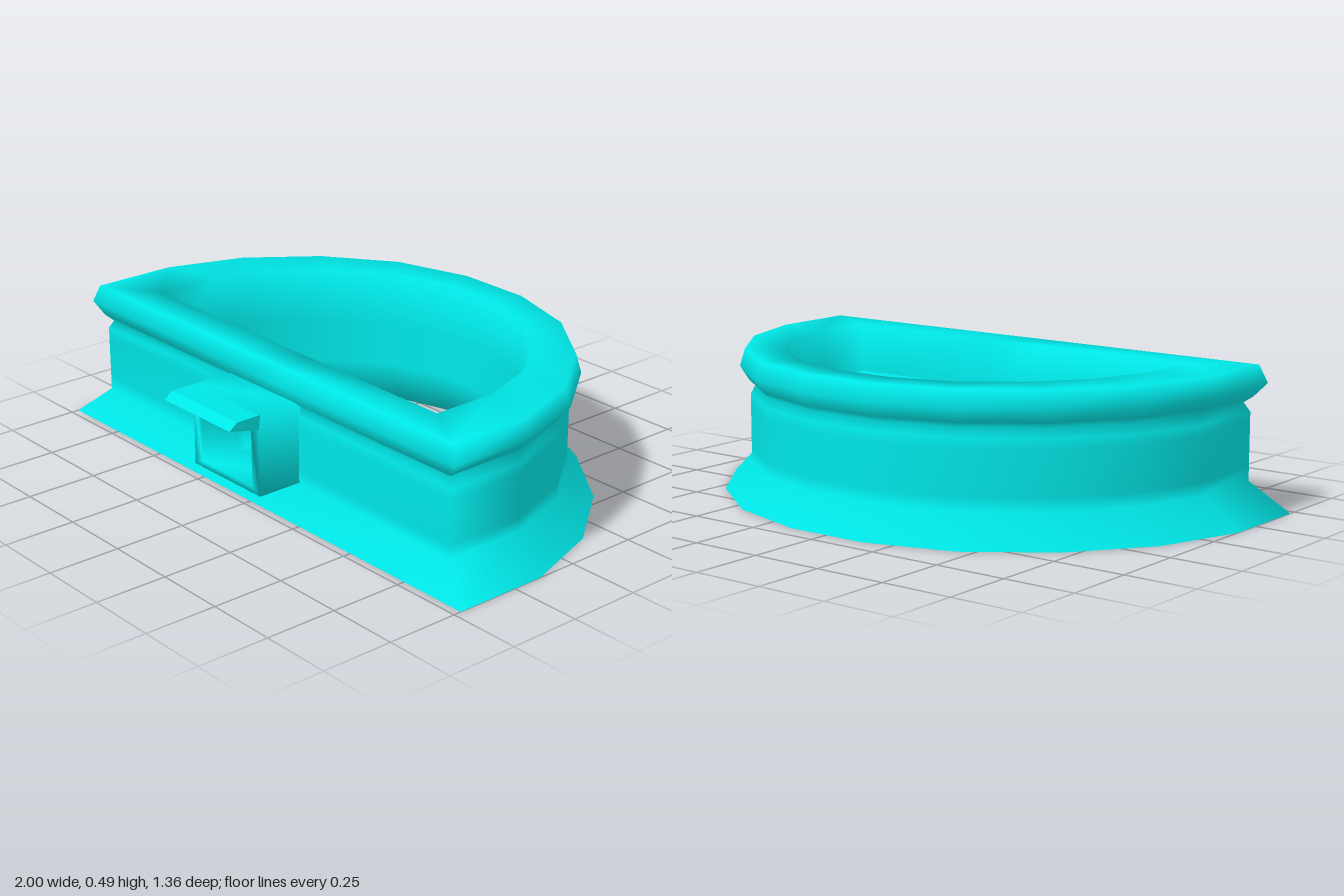
import * as THREE from 'three';

const material = new THREE.MeshStandardMaterial({ color: 0x00e6e6 });

// Skin a series of closed loops smoothly; skip(i, j) leaves a quad open
function loft(rows, skip = () => false) {
  const n = rows[0].length, index = [];
  for (let i = 0; i < rows.length - 1; i++) {
    for (let j = 0; j < n; j++) {
      if (skip(i, j)) continue;
      const a = i * n + j, b = i * n + (j + 1) % n;
      index.push(a, b, b + n, a, b + n, a + n);
    }
  }
  const geo = new THREE.BufferGeometry();
  geo.setAttribute('position', new THREE.Float32BufferAttribute(rows.flat(2), 3));
  geo.setIndex(index);
  geo.computeVertexNormals();
  return geo;
}

function extrude(points, depth) {
  const shape = new THREE.Shape(points.map(p => new THREE.Vector2(...p)));
  return new THREE.ExtrudeGeometry(shape, { depth, bevelEnabled: false });
}

export function createModel() {
  const group = new THREE.Group();
  const add = (name, geo) => {
    const mesh = new THREE.Mesh(geo, material);
    mesh.name = name;
    group.add(mesh);
  };

  // D-shaped outline: half width, depth fraction from the front (0) to the back (1)
  const side = [[1, 0], [1, 0.287], [0.9, 0.54], [0.71, 0.757], [0.45, 0.922], [0.15, 1]];
  const outline = (y, hx, front, back) => {
    const at = (x, f) => [x, y, front + (back - front) * f];
    return [
      at(-hx, 0), at(-0.1, 0), at(0.1, 0),
      ...side.map(([x, f]) => at(x * hx, f)),
      ...side.slice(1).reverse().map(([x, f]) => at(-x * hx, f)),
    ];
  };

  // Wall section: height, half width, front z, back z
  const section = [
    [0, 1, 0.473, -0.68],
    [0.105, 0.88, 0.405, -0.6],
    [0.15, 0.88, 0.405, -0.6],
    [0.3, 0.88, 0.405, -0.6],
    [0.335, 0.88, 0.405, -0.6],
    [0.365, 0.86, 0.395, -0.585],
    [0.385, 0.885, 0.415, -0.61],
    [0.43, 0.925, 0.435, -0.632],
    [0.49, 0.9, 0.42, -0.617],
    [0.49, 0.7, 0.3, -0.5],
    [0.3, 0.695, 0.3, -0.495],
    [0.15, 0.69, 0.3, -0.49],
    [0.1, 0.69, 0.3, -0.49],
    [0, 0.74, 0.33, -0.54],
    [0, 1, 0.473, -0.68],
  ];
  // The front panel stays open where the socket passes through
  add('ringWall', loft(section.map(s => outline(...s)), (i, j) => j === 1 && (i === 2 || i === 10)));

  // Socket sleeve with a stepped opening: half width, bottom, top, z
  const sleeve = [
    [0.17, 0.105, 0.385, 0.38],
    [0.17, 0.105, 0.385, 0.565],
    [0.13, 0.125, 0.335, 0.565],
    [0.12, 0.13, 0.32, 0.43],
    [0.1, 0.15, 0.3, 0.405],
    [0.118, 0.138, 0.312, 0.27],
    [0.125, 0.13, 0.32, 0.27],
    [0.125, 0.13, 0.32, 0.31],
  ];
  add('socket', loft(sleeve.map(([h, y0, y1, z]) => [[-h, y0, z], [h, y0, z], [h, y1, z], [-h, y1, z]])));

  // Small sloping hood above the socket
  const hood = extrude([[0.56, 0.335], [0.565, 0.335], [0.68, 0.362], [0.65, 0.385], [0.56, 0.385]], 0.34);
  add('hood', hood.translate(0, 0, -0.17).rotateY(-Math.PI / 2));

  // Blocks inside the front wall
  for (const s of [-1, 1]) {
    const block = extrude([[0.25, -0.32], [0.69, -0.32], [0.69, -0.29], [0.65, -0.22], [0.25, -0.22]]
      .map(([x, z]) => [s * x, z]), 0.18);
    add(s > 0 ? 'leftInnerBlock' : 'rightInnerBlock', block.rotateX(-Math.PI / 2).translate(0, 0.14, 0));
  }

  return group;
}
